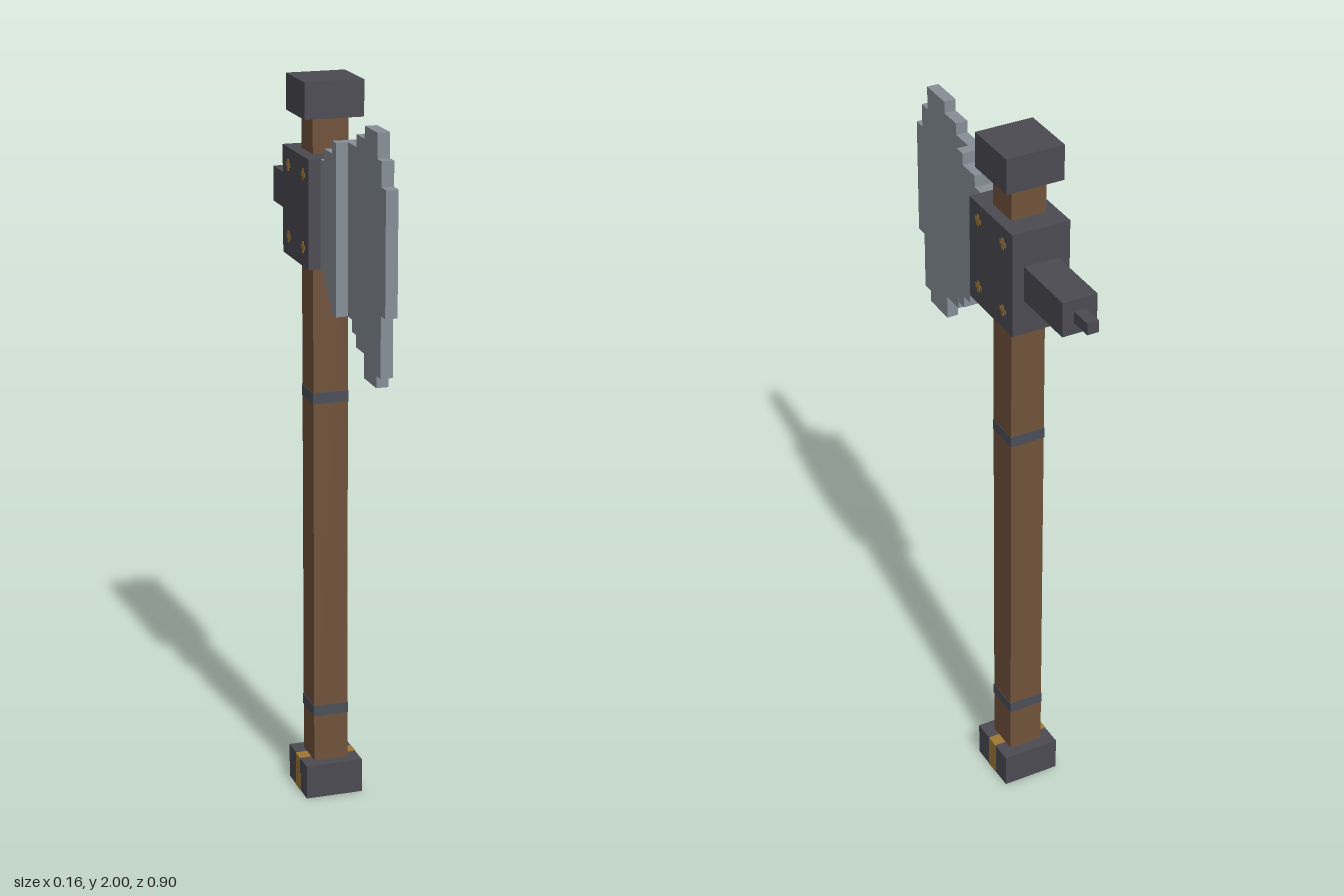
import * as THREE from 'three';

const U = 2 / 62; // one grid cell

const mat = (name, color) => {
  const m = new THREE.MeshStandardMaterial({ color });
  m.name = name;
  return m;
};

export function createModel() {
  const iron = mat('dark iron', 0x4b4a52);
  const wood = mat('brown wood', 0x70523a);
  const steel = mat('blade steel', 0x868e96);
  const brass = mat('brass', 0x9f7735);
  const wrap = mat('slate wrap', 0x4a4e57);
  const axe = new THREE.Group();
  axe.name = 'battleAxe';

  // Box from min/max corners, in grid cells
  const box = (parent, name, material, [x0, x1], [y0, y1], [z0, z1]) => {
    const mesh = new THREE.Mesh(
      new THREE.BoxGeometry((x1 - x0) * U, (y1 - y0) * U, (z1 - z0) * U), material);
    mesh.position.set((x0 + x1) / 2 * U, (y0 + y1) / 2 * U, (z0 + z1) / 2 * U);
    mesh.name = name;
    parent.add(mesh);
  };

  // Shaft, end caps and wraps
  box(axe, 'shaft', wood, [-1.5, 1.5], [3, 59], [-4, -1]);
  box(axe, 'pommel', iron, [-2.5, 2.5], [0, 3], [-5, 0]);
  box(axe, 'topCap', iron, [-2.5, 2.5], [59, 62], [-5, 0]);
  const e = 0.04;
  for (const y of [7.15, 35.1]) {
    box(axe, 'shaftWrap', wrap, [-1.5 - e, 1.5 + e], [y, y + 0.95], [-4 - e, -1 + e]);
  }

  // Head block, back hammer and its spike
  box(axe, 'headBlock', iron, [-2.5, 2.5], [47, 56], [-6, 1]);
  box(axe, 'hammer', iron, [-1.5, 1.5], [50, 53], [-12, -6]);
  box(axe, 'hammerTip', iron, [-0.5, 0.5], [51, 52], [-14, -12]);

  // Blade plate with a stepped outline; columns are [zStart, zEnd, bottom, top]
  const blade = (name, columns, width) => {
    const top = columns.flatMap(([a, b, , t]) => [[a, t], [b, t]]);
    const bottom = columns.flatMap(([a, b, l]) => [[a, l], [b, l]]).reverse();
    const shape = new THREE.Shape(
      [...bottom, ...top].map(([z, y]) => new THREE.Vector2(z * U, y * U)));
    const geo = new THREE.ExtrudeGeometry(shape, { depth: width * U, bevelEnabled: false });
    geo.translate(0, 0, -width * U / 2).rotateY(-Math.PI / 2);
    const mesh = new THREE.Mesh(geo, steel);
    mesh.name = name;
    axe.add(mesh);
  };
  blade('bladeRoot', [[1, 2, 47, 56], [2, 3, 46, 57], [3, 4, 45, 57], [4, 5, 44, 58]], 3);
  blade('bladeEdge', [[5, 6, 44, 58], [6, 7, 43, 58], [7, 9, 42, 59],
    [9, 12, 40, 60], [12, 13, 41, 58], [13, 14, 46, 56]], 1);

  // Brass details on both sides
  for (const s of [-1, 1]) {
    const side = (a, b) => [Math.min(s * a, s * b), Math.max(s * a, s * b)];

    // Cross-shaped rivets on the head block
    for (const y of [48.6, 54.55]) {
      for (const z of [-0.43, -4.45]) {
        const rivet = new THREE.Group();
        rivet.name = 'rivet';
        axe.add(rivet);
        const r = 0.48, w = 0.18;
        box(rivet, 'rivetBar', brass, side(2.48, 2.5 + e), [y - w, y + w], [z - r, z + r]);
        for (const d of [-1, 1]) {
          const c = y + d * (r + w) / 2, h = (r - w) / 2;
          box(rivet, 'rivetArm', brass, side(2.48, 2.5 + e), [c - h, c + h], [z - w, z + w]);
        }
      }
    }

    // Clip strip over the pommel side, folded onto its top and bottom
    const z = [-3.05, -1.9];
    box(axe, 'pommelStrip', brass, side(2.48, 2.5 + e), [0, 3], z);
    box(axe, 'pommelStripTop', brass, side(1.5, 2.5), [2.98, 3 + e], z);
    box(axe, 'pommelStripBottom', brass, side(2, 2.5), [-0.02, 0.05], z);
  }
  return axe;
}
